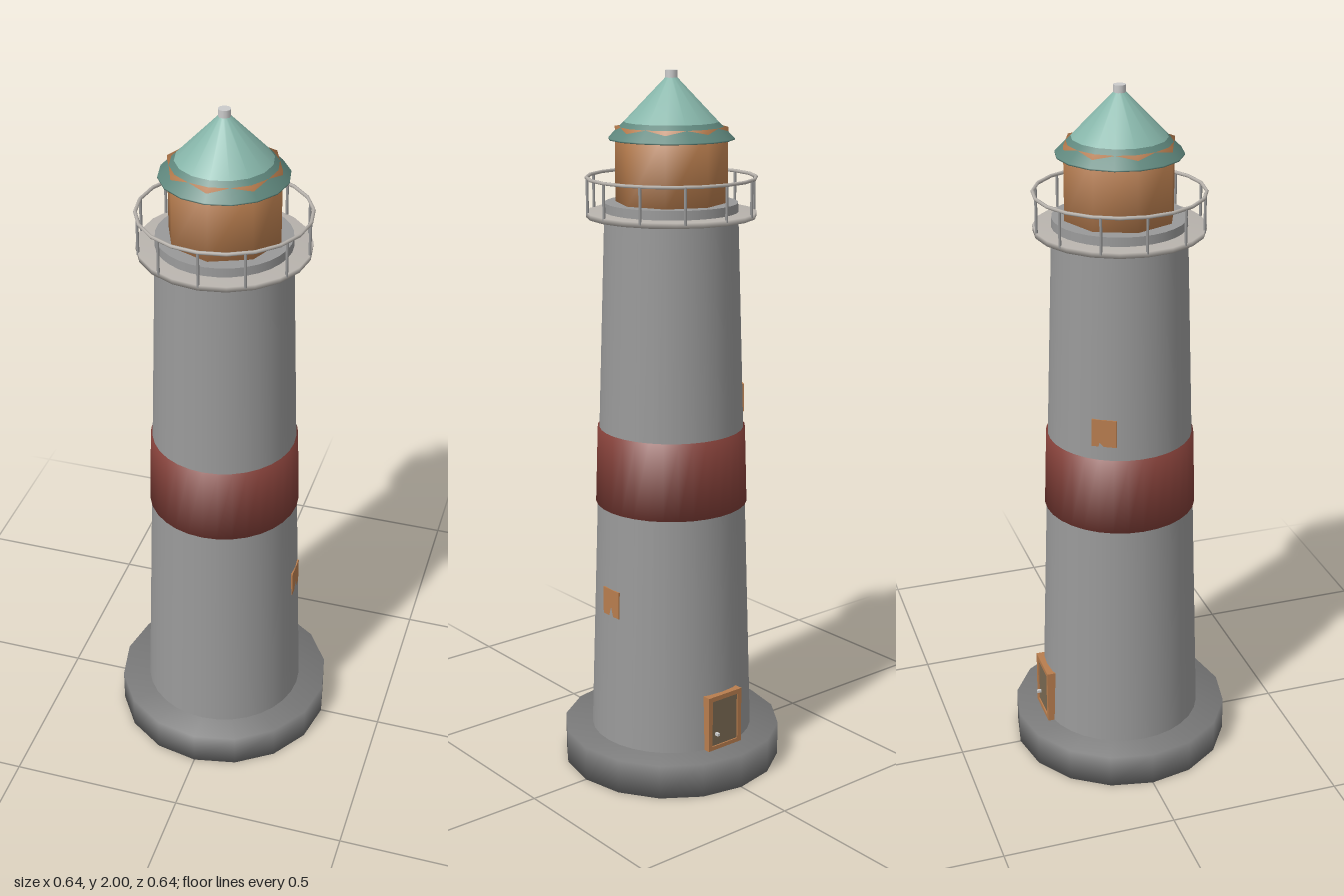
import * as THREE from 'three';
import { mergeVertices } from 'three/addons/utils/BufferGeometryUtils.js';

const STONE = 0x787878, WALL = 0x999999, DECK = 0xb8b3ad, METAL = 0xcccccc;
const TAN = 0xb87d4e, TEAL = 0x86b5a9, DARK_TEAL = 0x5f877d, RED = 0x823f38, PANEL = 0x7a6a52;

export function createModel() {
  const model = new THREE.Group();
  const mat = (color) => new THREE.MeshStandardMaterial({ color });

  function add(name, geometry, color, x = 0, y = 0, z = 0, parent = model) {
    const mesh = new THREE.Mesh(geometry, mat(color));
    mesh.name = name;
    mesh.position.set(x, y, z);
    parent.add(mesh);
    return mesh;
  }

  // Upright cylinder or cone section between two heights
  function drum(name, color, rBottom, rTop, y0, y1, sides) {
    return add(name, new THREE.CylinderGeometry(rTop, rBottom, y1 - y0, sides), color, 0, (y0 + y1) / 2, 0);
  }

  // Share vertices between wall and caps so the shading rolls over the rims
  function soften(mesh) {
    mesh.geometry.deleteAttribute('normal');
    mesh.geometry.deleteAttribute('uv');
    mesh.geometry = mergeVertices(mesh.geometry);
    mesh.geometry.computeVertexNormals();
  }

  // Foundation, tapering tower and painted band
  soften(drum('foundation', STONE, 0.318, 0.318, 0, 0.1, 16));
  drum('tower', WALL, 0.235, 0.184, 0.1, 1.645, 32);
  soften(drum('paintedBand', RED, 0.217, 0.21, 0.79, 1.01, 32));

  // Gallery deck with its railing
  soften(drum('galleryDeck', DECK, 0.235, 0.235, 1.605, 1.62, 20));
  const railing = new THREE.Group();
  railing.name = 'railing';
  model.add(railing);
  const rail = add('handrail', new THREE.TorusGeometry(0.233, 0.005, 6, 20), DECK, 0, 1.713, 0, railing);
  rail.rotation.x = Math.PI / 2;
  const postGeometry = new THREE.CylinderGeometry(0.004, 0.004, 0.1, 6);
  for (let i = 0; i < 12; i++) {
    const a = (i / 12) * Math.PI * 2;
    add('railPost', postGeometry, WALL, 0.232 * Math.sin(a), 1.663, 0.232 * Math.cos(a), railing);
  }

  // Eight-sided lantern room whose corners break through the roof skirt
  soften(drum('lanternRoom', TAN, 0.155, 0.155, 1.64, 1.85, 8));

  // Conical roof over a darker skirt with closed eaves, and finial
  const lathe = (points) => new THREE.LatheGeometry(points.map(([r, y]) => new THREE.Vector2(r, y)), 16);
  add('roofSkirt', lathe([[0, 1.816], [0.173, 1.816], [0.173, 1.82], [0.13, 1.863]]), DARK_TEAL);
  add('roof', lathe([[0.13, 1.863], [0.014, 1.983], [0, 1.985]]), TEAL);
  drum('finial', METAL, 0.017, 0.017, 1.972, 2, 12);

  // Windows: flat panes set into the curved wall, angle measured from the front
  function windowPane(angle, y, face) {
    const depth = 0.04, d = face - depth / 2;
    const pane = add('window', new THREE.BoxGeometry(0.07, 0.08, depth), TAN,
      d * Math.sin(angle), y, d * Math.cos(angle));
    pane.rotation.y = angle;
  }
  windowPane(Math.PI / 2, 0.522, 0.2215);
  windowPane((Math.PI * 4) / 3, 1.09, 0.2028);

  // Back door: frame with opening, recessed panel and knob
  const door = new THREE.Group();
  door.name = 'door';
  door.position.set(0, 0.1, -0.215);
  door.rotation.y = Math.PI;
  model.add(door);
  const outline = new THREE.Shape([[-0.061, 0], [0.061, 0], [0.061, 0.165], [-0.061, 0.165]]
    .map(([x, y]) => new THREE.Vector2(x, y)));
  outline.holes.push(new THREE.Path([[-0.047, 0.012], [-0.047, 0.151], [0.047, 0.151], [0.047, 0.012]]
    .map(([x, y]) => new THREE.Vector2(x, y))));
  add('doorFrame', new THREE.ExtrudeGeometry(outline, { depth: 0.03, bevelEnabled: false }), TAN, 0, 0, 0, door);
  add('doorPanel', new THREE.BoxGeometry(0.096, 0.141, 0.026), PANEL, 0, 0.0815, 0.013, door);
  add('doorKnob', new THREE.BoxGeometry(0.008, 0.008, 0.016), METAL, -0.031, 0.048, 0.031, door);

  return model;
}
